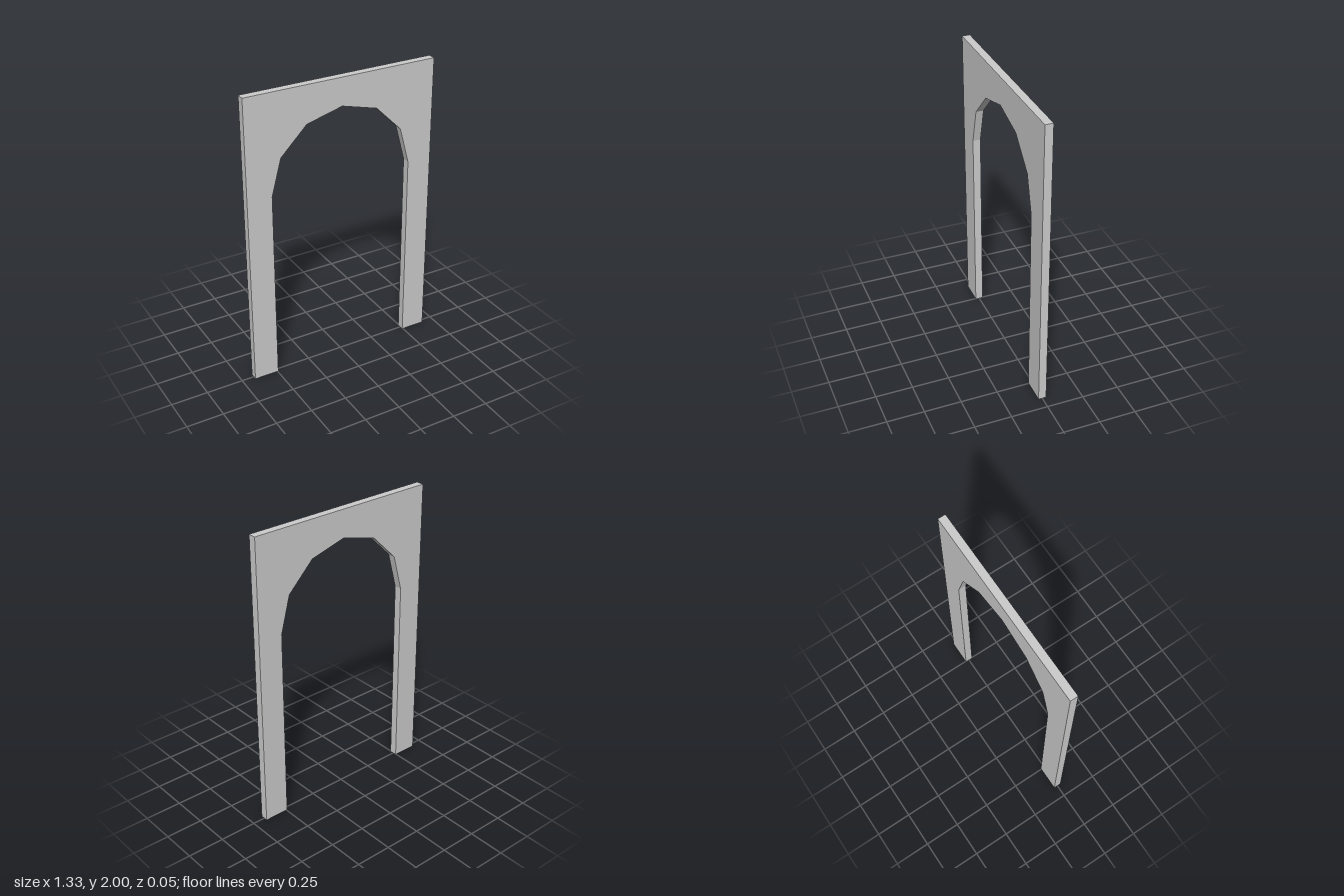
import * as THREE from 'three';

const HALF_WIDTH = 0.665;
const HEIGHT = 2;
const DEPTH = 0.053;
const RADIUS = 0.495; // half width of the opening
const SPRING = 1.317; // height where the arch begins
const SEGMENTS = 6;

export function createModel() {
  const group = new THREE.Group();
  group.name = 'archway';

  // Outer frame, counter-clockwise, then back along the faceted arch
  const outline = new THREE.Shape();
  outline.moveTo(-RADIUS, 0);
  outline.lineTo(-HALF_WIDTH, 0);
  outline.lineTo(-HALF_WIDTH, HEIGHT);
  outline.lineTo(HALF_WIDTH, HEIGHT);
  outline.lineTo(HALF_WIDTH, 0);
  outline.lineTo(RADIUS, 0);
  for (let i = 0; i <= SEGMENTS; i++) {
    const a = (i / SEGMENTS) * Math.PI;
    outline.lineTo(RADIUS * Math.cos(a), SPRING + RADIUS * Math.sin(a));
  }
  outline.closePath();

  // Flat slab with the arched opening
  const geometry = new THREE.ExtrudeGeometry(outline, { depth: DEPTH, bevelEnabled: false });
  geometry.translate(0, 0, -DEPTH / 2);
  const material = new THREE.MeshStandardMaterial({ color: 0xcccccc, flatShading: true });
  const wall = new THREE.Mesh(geometry, material);
  wall.name = 'archWall';
  group.add(wall);
  return group;
}
